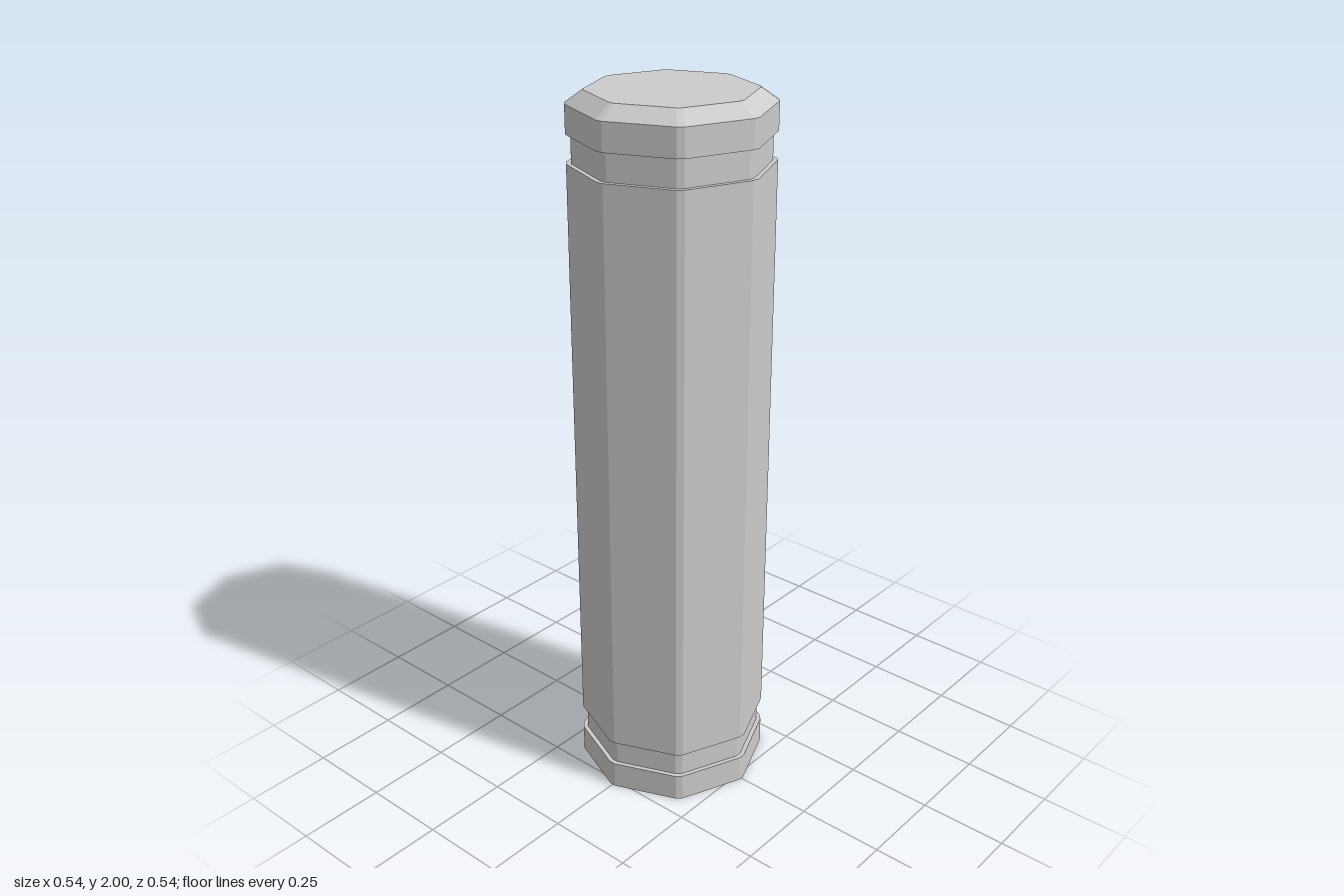
import * as THREE from 'three';

const material = new THREE.MeshStandardMaterial({ color: 0xcccccc, flatShading: true });
const R = 0.27;             // outer corner radius
const GROOVE = 0.257;       // corner radius inside the grooves
const TRIM = 0.037;         // half angle of each trimmed corner

// Revolves a bottom-to-top profile into an octagon with narrowly trimmed corners
function octagonal(name, profile) {
  const points = profile.map(([r, y]) => new THREE.Vector2(r, y));
  const geometry = new THREE.LatheGeometry(points, 16);
  const pos = geometry.attributes.position;
  for (let i = 0; i < pos.count; i++) {
    // Pair up the 16 columns, two to each corner
    const column = Math.floor(i / points.length);
    const angle = Math.floor(column / 2) * Math.PI / 4 + (column % 2 ? TRIM : -TRIM);
    const { x: r, y } = points[i % points.length];
    pos.setXYZ(i, r * Math.sin(angle), y, r * Math.cos(angle));
  }
  const flat = geometry.toNonIndexed();
  flat.computeVertexNormals();
  const mesh = new THREE.Mesh(flat, material);
  mesh.name = name;
  return mesh;
}

export function createModel() {
  const group = new THREE.Group();
  group.name = 'octagonalPillar';
  group.add(
    // Foot with closed underside
    octagonal('baseRing', [[0, 0], [R, 0], [R, 0.08], [GROOVE, 0.08]]),
    octagonal('lowerGroove', [[GROOVE, 0.08], [GROOVE, 0.155]]),
    // Long body with small ledges over the grooves
    octagonal('shaft', [[GROOVE, 0.155], [R, 0.155], [R, 1.815], [GROOVE, 1.815]]),
    octagonal('upperGroove', [[GROOVE, 1.815], [GROOVE, 1.89]]),
    // Bevelled cap
    octagonal('cap', [[GROOVE, 1.89], [R, 1.89], [R, 1.966], [0.222, 2], [0, 2]])
  );
  return group;
}
